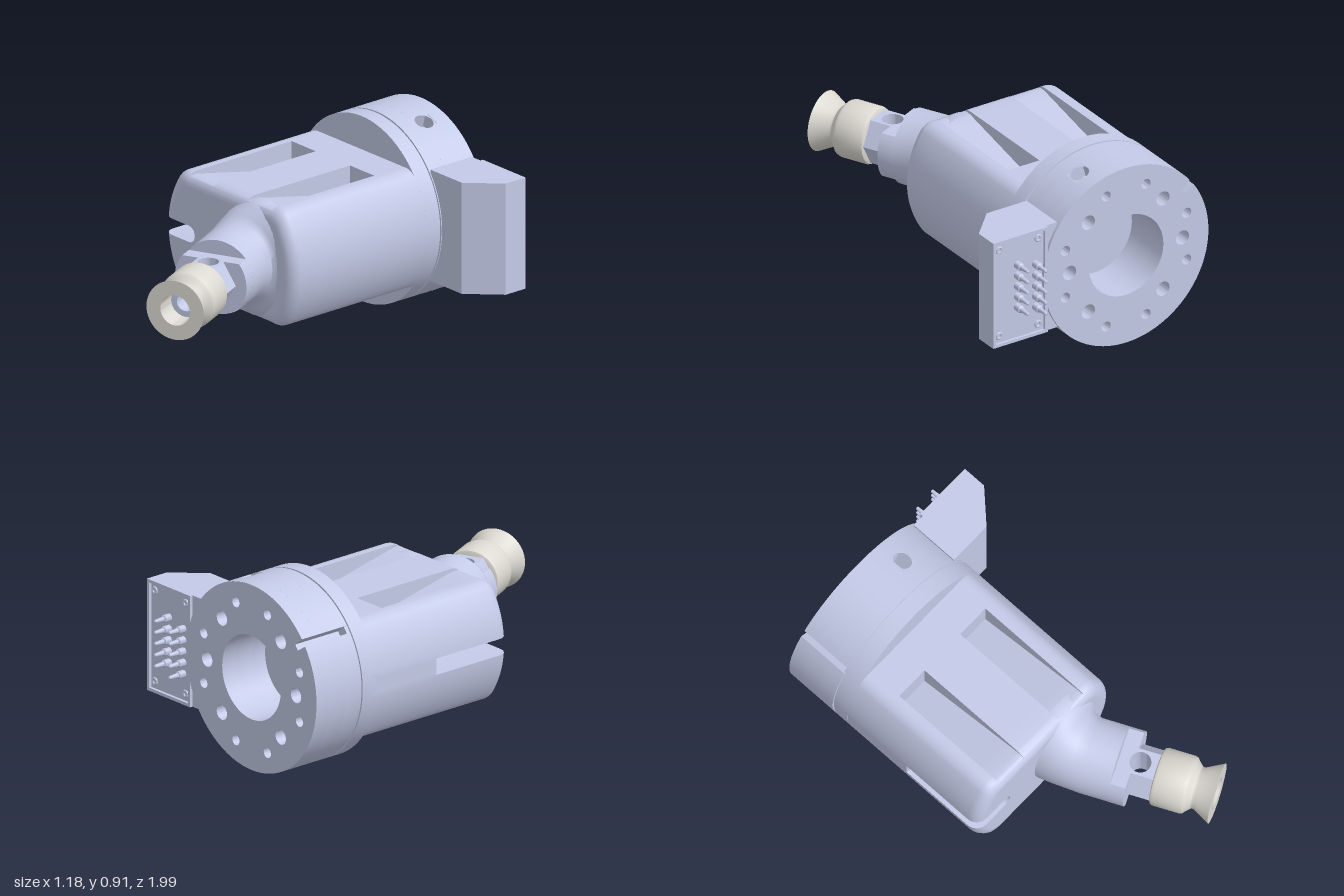
import * as THREE from 'three';
import { toCreasedNormals } from 'three/addons/utils/BufferGeometryUtils.js';

const CX = -0.14, CY = 0.455, R = 0.453;
const TILT = THREE.MathUtils.degToRad(25);
const V2 = (x, y) => new THREE.Vector2(x, y);

const steel = new THREE.MeshStandardMaterial({ color: 0xc6cdea, side: THREE.DoubleSide });
steel.name = 'blue grey metal';
const rubber = new THREE.MeshStandardMaterial({ color: 0xdcdad2, side: THREE.DoubleSide });
rubber.name = 'pale grey rubber';

function add(parent, name, geometry, material = steel, crease = 0.6) {
  const mesh = new THREE.Mesh(toCreasedNormals(geometry, crease), material);
  mesh.name = name;
  parent.add(mesh);
  return mesh;
}

// Skin between closed rings that all have the same number of points
function loft(rings) {
  const n = rings[0].length, index = [];
  for (let i = 0; i < rings.length - 1; i++)
    for (let j = 0; j < n; j++) {
      const a = i * n + j, b = i * n + (j + 1) % n;
      index.push(a, b, a + n, b, b + n, a + n);
    }
  const g = new THREE.BufferGeometry().setFromPoints(rings.flat());
  g.setIndex(index);
  return g;
}

// Outline of the housing: a flattened circle with two pockets above and below and a side slot
function section(z, inset, pocket, slot) {
  const r = R - inset, h = 0.29 - inset, c = 0.08, half = [];
  const fx = Math.sqrt((r - c) ** 2 - (h - c) ** 2), a = Math.atan2(h - c, fx);
  const put = (x, y) => half.push([x, y]);
  for (let i = 0; i <= 10; i++) put(r * Math.cos(a * i / 10), r * Math.sin(a * i / 10));
  const corner = (t) => [fx + c * Math.cos(t), h - c + c * Math.sin(t)];
  for (let i = 1; i <= 8; i++) put(...corner(a + (Math.PI / 2 - a) * i / 8));
  for (const [x1, x2] of [[0.29, 0.12], [-0.12, -0.29]]) {
    const p = Math.min(x1, fx), q = Math.max(x2, -fx);
    put(p, h); put(p, h - pocket); put(q, h - pocket); put(q, h);
  }
  for (let i = 8; i >= 0; i--) {
    const [x, y] = corner(a + (Math.PI / 2 - a) * i / 8);
    put(-x, y);
  }
  const w = 0.04, b = Math.asin(w / r);
  for (let i = 9; i >= 0; i--) {
    const t = b + (a - b) * i / 10;
    put(-r * Math.cos(t), r * Math.sin(t));
  }
  const round = Math.min(slot, w), end = -r * Math.cos(b) + slot - round;
  for (let i = 0; i <= 5; i++) {
    const t = Math.PI / 2 * (1 - i / 5);
    put(end + round * Math.cos(t), w * Math.sin(t));
  }
  const lower = half.slice(1, -1).reverse().map(([x, y]) => [x, -y]);
  return [...half, ...lower].map(([x, y]) => new THREE.Vector3(CX + x, CY + y, z));
}

// Disc outline with notches cut in its rim, each [angle, half angle, depth]
function discShape(cuts) {
  const pts = [], polar = (t, r) => pts.push(V2(r * Math.cos(t), r * Math.sin(t)));
  const sorted = [...cuts].sort((p, q) => p[0] - q[0]);
  let from = -Math.PI;
  for (const [a, h, d] of [...sorted, [Math.PI, 0, 0]]) {
    const to = a - h, n = Math.max(1, Math.ceil((to - from) / 0.06));
    for (let i = 0; i < n; i++) polar(from + (to - from) * i / n, R);
    if (h) { polar(to, R); polar(to, R - d); polar(a + h, R - d); }
    from = a + h;
  }
  return new THREE.Shape(pts);
}

function circleHole(x, y, r) {
  return new THREE.Path().absarc(x, y, r, 0, Math.PI * 2, true);
}

function disc(r, z1, z2) {
  return new THREE.CylinderGeometry(r, r, z2 - z1, 96).rotateX(Math.PI / 2).translate(CX, CY, (z1 + z2) / 2);
}

function buildHousing(g) {
  const slotDepth = (z) => z < -0.19 ? 0 : 0.22 * Math.sqrt(1 - (1 - Math.min(1, (z + 0.19) / 0.32)) ** 2);
  const rings = [section(-0.58, 0, 0, 0), section(-0.385, 0, 0, 0)];
  for (const z of [-0.385, -0.19, -0.17, -0.13, -0.08, 0, 0.1, 0.19])
    rings.push(section(z, 0, 0.14 - 0.125 * (z + 0.385) / 0.575, slotDepth(z)));
  for (let i = 1; i <= 6; i++) {
    const t = Math.PI / 2 * i / 6, f = 0.06 * (1 - Math.cos(t));
    rings.push(section(0.19 + 0.06 * Math.sin(t), f, Math.max(0, 0.015 - f), 0.22 - f));
  }
  add(g, 'housing', loft(rings));
  const face = new THREE.Shape(rings.at(-1).map((p) => V2(p.x, p.y)));
  add(g, 'housingFront', new THREE.ShapeGeometry(face).translate(0, 0, 0.25));
}

function buildMount(g) {
  add(g, 'flange', disc(R, -0.64, -0.56));
  add(g, 'spacer', disc(R - 0.008, -0.66, -0.63));

  // Mounting ring in three layers: bolt holes behind, screw openings in the middle
  const rad = THREE.MathUtils.degToRad;
  const key = [rad(143), 0.04, 0.06], screws = [rad(68), rad(-68)];
  const layers = [[-0.92, -0.84, true, false], [-0.84, -0.74, true, true], [-0.74, -0.65, false, false]];
  for (const [z1, z2, bolts, open] of layers) {
    const s = discShape([key, ...(open ? screws.map((a) => [a, 0.11, 0.1]) : [])]);
    s.holes.push(circleHole(0, 0, 0.205));
    const hole = (deg, r, size) => s.holes.push(circleHole(r * Math.cos(rad(deg)), r * Math.sin(rad(deg)), size));
    if (bolts) {
      for (const d of [0, 48, 131, 180, 229, -48]) hole(d, 0.31, 0.036);
      for (const d of [20, 72, 108, 160, 200, 252, 288, 340]) hole(d, 0.355, 0.025);
    }
    const geo = new THREE.ExtrudeGeometry(s, { depth: z2 - z1, bevelEnabled: false, curveSegments: 40 });
    add(g, 'mountingRing', geo.translate(CX, CY, z1));
  }
  for (const a of screws) {
    const s = new THREE.Shape([V2(-0.05, -0.05), V2(0.05, -0.05), V2(0.05, 0.05), V2(-0.05, 0.05)]);
    s.holes.push(circleHole(0, 0, 0.045));
    const geo = new THREE.ShapeGeometry(s, 24).rotateX(-Math.PI / 2).translate(0, R - 0.0025, 0);
    add(g, 'screwOpening', geo.rotateZ(a - Math.PI / 2).translate(CX, CY, -0.79));
  }
}

function buildConnector(g) {
  // Block with a chamfered outer corner, extruded upwards
  const s = new THREE.Shape([V2(0.23, 0.905), V2(0.23, 0.655), V2(0.45, 0.655), V2(0.59, 0.8), V2(0.59, 0.905)]);
  const block = new THREE.ExtrudeGeometry(s, { depth: 0.545, bevelEnabled: false });
  add(g, 'connectorBlock', block.rotateX(-Math.PI / 2).translate(0, 0.185, 0));

  // Raised rim round the contact panel
  const rect = (x1, y1, x2, y2) => [V2(x1, y1), V2(x2, y1), V2(x2, y2), V2(x1, y2)];
  const rim = new THREE.Shape(rect(0.29, 0.185, 0.59, 0.73));
  rim.holes.push(new THREE.Path(rect(0.305, 0.2, 0.575, 0.715)));
  add(g, 'connectorRim', new THREE.ExtrudeGeometry(rim, { depth: 0.016, bevelEnabled: false }).translate(0, 0, -0.92));

  // Staggered spring pins
  const profile = [V2(0, 0), V2(0.018, 0), V2(0.018, 0.035), V2(0.012, 0.04), V2(0.008, 0.09), V2(0, 0.095)];
  for (const [x, shift] of [[0.35, 0], [0.45, 0.027]])
    for (let i = 0; i < 5; i++) {
      const pin = add(g, 'contactPin', new THREE.LatheGeometry(profile, 16).rotateX(-Math.PI / 2));
      pin.position.set(x, 0.33 + shift + i * 0.055, -0.905);
    }
  for (const x of [0.335, 0.55])
    for (const y of [0.235, 0.68]) {
      const head = new THREE.TorusGeometry(0.014, 0.006, 8, 20);
      add(g, 'panelScrew', head).position.set(x, y, -0.907);
    }
}

function buildNozzle(g) {
  // Neck blending from the housing front into the tilted collar: [x, z, tilt, rx, ry]
  const rings = [
    [0.035, 0.17, 0, 0.25, 0.283], [0.035, 0.215, 0, 0.248, 0.282], [0.03, 0.25, 0.05, 0.232, 0.265],
    [0.016, 0.29, 0.22, 0.2, 0.226], [0.016, 0.33, 0.36, 0.186, 0.194],
    [0.03, 0.385, TILT, 0.18, 0.182], [0.088, 0.509, TILT, 0.18, 0.18],
  ].map(([x, z, tilt, rx, ry]) => Array.from({ length: 48 }, (_, j) => {
    const t = j / 48 * Math.PI * 2, u = rx * Math.cos(t);
    return new THREE.Vector3(x + u * Math.cos(tilt), CY + ry * Math.sin(t), z - u * Math.sin(tilt));
  }));
  add(g, 'neck', loft(rings), steel, 0.9);

  const nozzle = new THREE.Group();
  nozzle.name = 'nozzle';
  nozzle.position.set(0.13, CY, 0.6);
  nozzle.rotation.y = TILT;
  g.add(nozzle);
  add(nozzle, 'collarEnd', new THREE.CircleGeometry(0.18, 48).translate(0, 0, -0.1));

  // Spanner flats above and below, pierced by a cross hole
  const flat = new THREE.Shape([V2(-0.142, -0.1), V2(0.142, -0.1), V2(0.142, -0.027), V2(0.0635, -0.027),
    V2(0.0635, 0.085), V2(-0.0635, 0.085), V2(-0.0635, -0.027), V2(-0.142, -0.027)]);
  flat.holes.push(circleHole(0, 0, 0.05));
  for (const y of [0.11, -0.11])
    add(nozzle, 'spannerFlat', new THREE.ShapeGeometry(flat, 32).rotateX(y > 0 ? Math.PI / 2 : Math.PI / 2).translate(0, y, 0));
  add(nozzle, 'crossHole', new THREE.CylinderGeometry(0.05, 0.05, 0.22, 32, 1, true));

  // Curved collar sides, their end faces and the hexagon sides
  const h = Math.asin(0.11 / 0.18);
  for (const side of [1, -1]) {
    const wall = (r, half, segs, s1, s2) => new THREE.CylinderGeometry(r, r, s2 - s1, segs, 1, true,
      side * Math.PI / 2 - half, half * 2).rotateX(Math.PI / 2).translate(0, 0, (s1 + s2) / 2);
    add(nozzle, 'collarSide', wall(0.18, h, 12, -0.1, -0.027));
    add(nozzle, 'hexSide', wall(0.127, Math.PI / 3, 2, -0.027, 0.085));
    const pts = [];
    for (let i = 0; i <= 12; i++) {
      const t = -h + 2 * h * i / 12;
      pts.push(V2(side * 0.18 * Math.cos(t), 0.18 * Math.sin(t)));
    }
    pts.push(V2(side * 0.0635, 0.11), V2(side * 0.127, 0), V2(side * 0.0635, -0.11));
    add(nozzle, 'collarShoulder', new THREE.ShapeGeometry(new THREE.Shape(pts)).translate(0, 0, -0.027));
  }

  // Suction cup with flared lip, and the fitting inside its bore
  const lathe = (list) => new THREE.LatheGeometry(list.map(([r, s]) => V2(r, s)), 48).rotateX(Math.PI / 2);
  add(nozzle, 'suctionCup', lathe([[0, 0.08], [0.122, 0.08], [0.133, 0.085], [0.138, 0.097], [0.138, 0.225],
    [0.133, 0.24], [0.12, 0.25], [0.1, 0.272], [0.1, 0.285], [0.144, 0.368], [0.074, 0.368], [0.074, 0.16], [0, 0.16]]), rubber);
  add(nozzle, 'cupFitting', lathe([[0.073, 0.16], [0.073, 0.25], [0.045, 0.25], [0.045, 0.17], [0, 0.17]]));
}

export function createModel() {
  const model = new THREE.Group();
  model.name = 'suctionGripper';
  buildHousing(model);
  buildMount(model);
  buildConnector(model);
  buildNozzle(model);
  return model;
}
